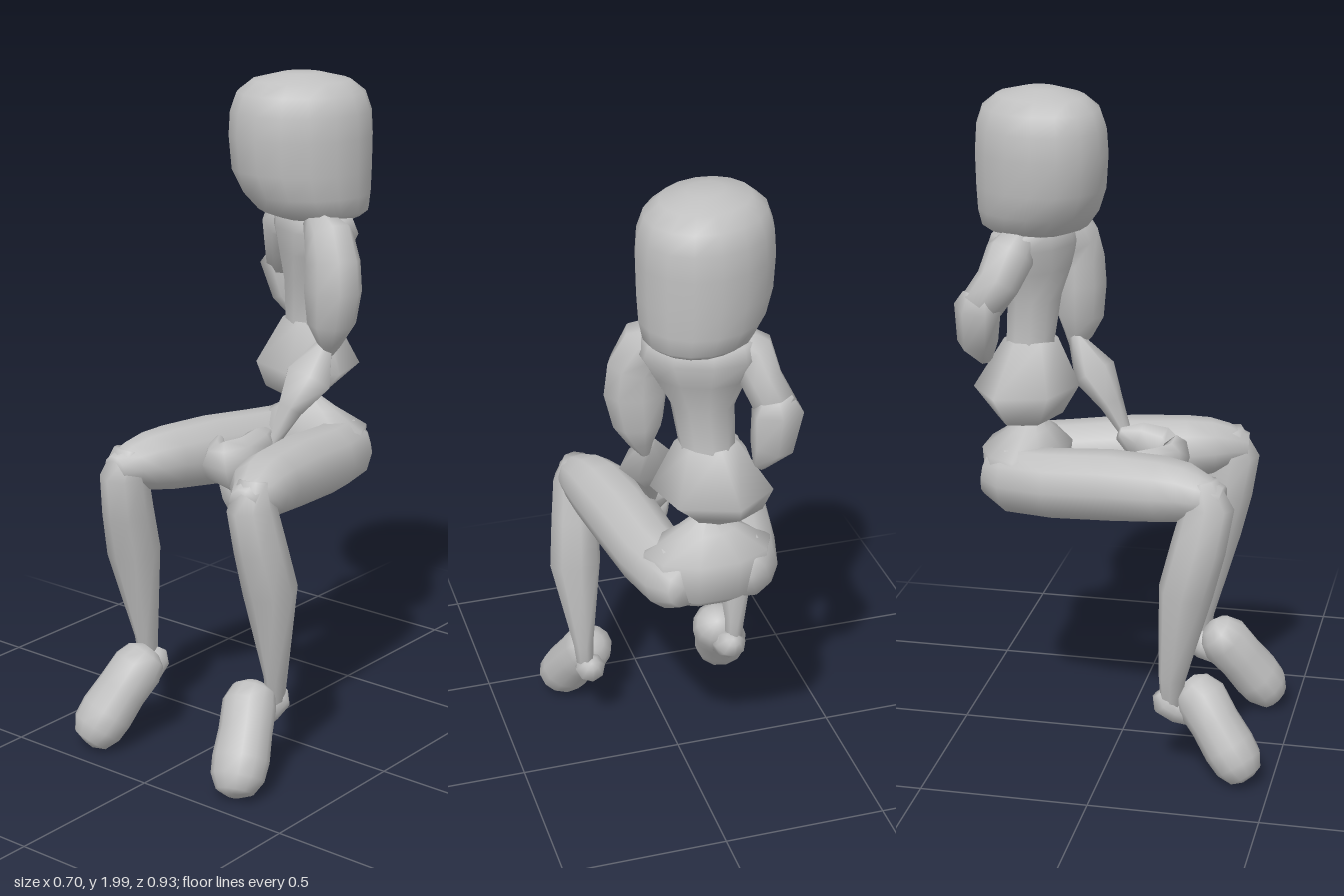
import * as THREE from 'three';

const V = (x, y, z) => new THREE.Vector3(x, y, z);
const UP = V(0, 1, 0);

// Closed skin over elliptical sections [x, y, z, halfWidth, halfDepth].
// side: direction of the half width; axis: fixed section normal, else the path direction.
function loft(sections, n, side = V(1, 0, 0), axis = null) {
  const pos = [], index = [];
  const centre = sections.map(s => V(s[0], s[1], s[2]));
  const last = sections.length - 1;
  sections.forEach((s, i) => {
    const t = axis ? axis.clone()
      : centre[Math.min(i + 1, last)].clone().sub(centre[Math.max(i - 1, 0)]).normalize();
    const u = side.clone().addScaledVector(t, -side.dot(t)).normalize();
    const v = t.clone().cross(u);
    for (let j = 0; j < n; j++) {
      const a = j / n * Math.PI * 2;
      const p = centre[i].clone().addScaledVector(u, s[3] * Math.cos(a)).addScaledVector(v, s[4] * Math.sin(a));
      pos.push(p.x, p.y, p.z);
    }
  });
  const c0 = pos.length / 3;
  pos.push(...centre[0].toArray(), ...centre[last].toArray());
  for (let j = 0; j < n; j++) {
    const k = (j + 1) % n;
    for (let i = 0; i < last; i++) {
      const a = i * n + j, b = i * n + k;
      index.push(a, b, b + n, a, b + n, a + n);
    }
    index.push(c0, k, j, c0 + 1, last * n + j, last * n + k);
  }
  const g = new THREE.BufferGeometry();
  g.setAttribute('position', new THREE.Float32BufferAttribute(pos, 3));
  g.setIndex(index);
  g.computeVertexNormals();
  return g;
}

export function createModel() {
  const model = new THREE.Group();
  const grey = new THREE.MeshStandardMaterial({ color: 0xc0c0c0 });
  grey.name = 'plain grey';
  const add = (name, geometry) => {
    const m = new THREE.Mesh(geometry, grey);
    m.name = name;
    model.add(m);
  };

  // Head: rounded block turned towards the right, fuller at the lower back
  const turned = V(1, 0, 1).normalize();
  const head = [
    [1.58, 0.12, 0.125, 0.055], [1.6, 0.152, 0.165, 0.04], [1.65, 0.172, 0.19, 0.02], [1.72, 0.182, 0.208, 0.004],
    [1.82, 0.186, 0.213, 0], [1.89, 0.181, 0.209, 0], [1.945, 0.162, 0.19, 0], [1.98, 0.12, 0.145, 0], [2, 0.05, 0.06, 0],
  ].map(([y, w, d, back]) => [-0.005 + back * 0.7, y, -0.236 - back * 0.7, w, d]);
  add('head', loft(head, 16, turned, UP));

  // Torso: chest twisted to the right, narrow waist, flared hem
  add('chest', loft([
    [0, 1.15, -0.28, 0.085, 0.085], [0, 1.26, -0.275, 0.08, 0.07], [0.01, 1.38, -0.265, 0.09, 0.075],
    [0.02, 1.47, -0.265, 0.135, 0.095], [0.025, 1.54, -0.27, 0.175, 0.11], [0.02, 1.585, -0.265, 0.16, 0.1],
    [0.02, 1.61, -0.26, 0.1, 0.07],
  ], 10, V(0.92, 0, 0.39), UP));
  add('hem', loft([
    [0, 0.99, -0.27, 0.02, 0.02], [-0.04, 1.035, -0.27, 0.125, 0.085], [-0.012, 1.115, -0.287, 0.175, 0.15],
    [0, 1.26, -0.275, 0.09, 0.075],
  ], 6, V(0.94, 0, 0.34), UP));

  // Pelvis: fans out from the pinched waist
  add('pelvis', loft([
    [0, 0.755, -0.26, 0.13, 0.08], [0, 0.81, -0.29, 0.19, 0.12], [0, 0.93, -0.29, 0.19, 0.13],
    [0, 0.985, -0.28, 0.09, 0.06], [0, 1.03, -0.27, 0.02, 0.02],
  ], 10, V(1, 0, 0), UP));

  // Legs and feet
  for (const [label, s] of [['left', 1], ['right', -1]]) {
    const limb = (name, rows, n) => add(label + name, loft(rows.map(([x, ...r]) => [s * x, ...r]), n));
    limb('Thigh', [
      [0.1, 0.86, -0.39, 0.05, 0.06], [0.11, 0.855, -0.32, 0.09, 0.1], [0.138, 0.86, -0.18, 0.1, 0.103],
      [0.163, 0.876, 0, 0.106, 0.104], [0.192, 0.886, 0.16, 0.102, 0.095], [0.212, 0.888, 0.23, 0.09, 0.085],
      [0.232, 0.885, 0.28, 0.07, 0.068], [0.24, 0.88, 0.34, 0.045, 0.045],
    ], 10);
    limb('Shin', [
      [0.235, 0.935, 0.285, 0.045, 0.04], [0.24, 0.86, 0.3, 0.068, 0.075], [0.25, 0.74, 0.275, 0.073, 0.08],
      [0.26, 0.6, 0.24, 0.08, 0.08], [0.25, 0.32, 0.2, 0.032, 0.04], [0.245, 0.22, 0.197, 0.025, 0.03],
    ], 8);
    limb('Heel', [
      [0.235, 0.265, 0.16, 0.025, 0.025], [0.235, 0.24, 0.178, 0.047, 0.047], [0.23, 0.215, 0.21, 0.042, 0.045],
      [0.222, 0.21, 0.27, 0.045, 0.055],
    ], 8);
    limb('Foot', [
      [0.203, 0.293, 0.235, 0.03, 0.03], [0.208, 0.278, 0.25, 0.066, 0.06], [0.216, 0.247, 0.28, 0.079, 0.08],
      [0.239, 0.185, 0.327, 0.08, 0.074], [0.26, 0.12, 0.374, 0.086, 0.077], [0.272, 0.077, 0.405, 0.081, 0.072],
      [0.28, 0.043, 0.428, 0.057, 0.05], [0.284, 0.034, 0.436, 0.022, 0.02],
    ], 12);
  }

  // Left arm: hangs forward, forearm reaching down to the lap
  add('leftUpperArm', loft([
    [0.09, 1.575, -0.2, 0.045, 0.06], [0.145, 1.54, -0.177, 0.075, 0.075], [0.17, 1.47, -0.165, 0.085, 0.075],
    [0.173, 1.39, -0.162, 0.092, 0.077], [0.167, 1.29, -0.165, 0.073, 0.072], [0.16, 1.23, -0.17, 0.038, 0.043],
    [0.15, 1.19, -0.18, 0.012, 0.015],
  ], 8));
  add('leftForearm', loft([
    [0.14, 1.23, -0.178, 0.02, 0.02], [0.124, 1.125, -0.112, 0.085, 0.063], [0.1, 1.04, -0.055, 0.045, 0.036],
    [0.08, 0.94, 0.0, 0.015, 0.015],
  ], 6));

  // Curled left hand between the thighs, with one finger hanging
  add('leftHand', loft([
    [0.04, 0.965, -0.02, 0.02, 0.02], [0.055, 0.945, 0.03, 0.057, 0.042], [0.062, 0.915, 0.1, 0.077, 0.044],
    [0.035, 0.9, 0.15, 0.078, 0.048], [-0.015, 0.9, 0.142, 0.062, 0.046], [-0.05, 0.92, 0.1, 0.04, 0.03],
    [-0.078, 0.94, 0.055, 0.015, 0.012],
  ], 8, UP));
  add('leftFinger', loft([
    [0.02, 0.86, 0.13, 0.035, 0.035], [0.025, 0.8, 0.125, 0.03, 0.028], [0.03, 0.755, 0.12, 0.014, 0.014],
  ], 6));

  // Right arm: bent behind the back
  add('rightUpperArm', loft([
    [-0.06, 1.57, -0.29, 0.06, 0.05], [-0.115, 1.535, -0.305, 0.072, 0.072], [-0.14, 1.46, -0.335, 0.06, 0.065],
    [-0.17, 1.39, -0.382, 0.062, 0.062],
  ], 8));
  add('rightElbow', loft([
    [-0.16, 1.43, -0.387, 0.055, 0.045], [-0.168, 1.39, -0.39, 0.088, 0.066], [-0.15, 1.285, -0.396, 0.067, 0.06],
    [-0.12, 1.22, -0.38, 0.02, 0.02],
  ], 6, V(0.85, 0, -0.5)));

  return model;
}
